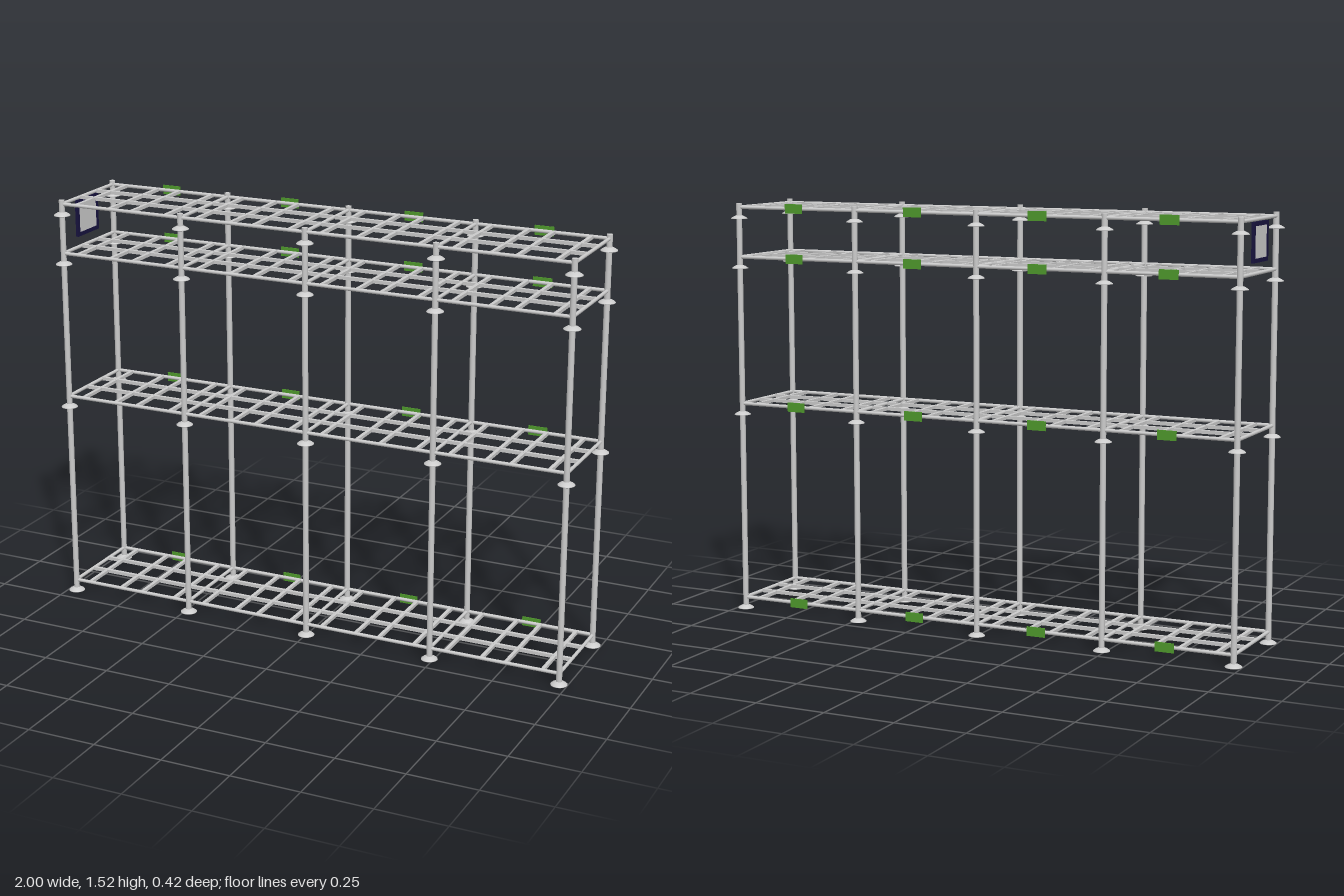
import * as THREE from 'three';

const grey = new THREE.MeshStandardMaterial({ color: 0xcccccc });
const green = new THREE.MeshStandardMaterial({ color: 0x4f9a2c });
const navy = new THREE.MeshStandardMaterial({ color: 0x17123f });

const POST_X = [-0.97, -0.485, 0, 0.485, 0.97];
const POST_Z = 0.178;
const LEVELS = [0.042, 0.777, 1.32, 1.502];
const HEIGHT = 1.517;

export function createModel() {
  const model = new THREE.Group();
  model.name = 'shelvingRack';

  const add = (parent, name, geometry, material, x, y, z) => {
    const mesh = new THREE.Mesh(geometry, material);
    mesh.name = name;
    mesh.position.set(x, y, z);
    parent.add(mesh);
    return mesh;
  };

  // Shared geometries
  const postGeo = new THREE.CylinderGeometry(0.0105, 0.0105, HEIGHT, 16);
  const collarGeo = new THREE.LatheGeometry([
    [0, 0], [0.03, 0], [0.03, 0.002], [0.025, 0.006], [0.018, 0.01], [0.0105, 0.013],
  ].map(([r, y]) => new THREE.Vector2(r, y)), 20);
  const longRailGeo = new THREE.CylinderGeometry(0.0065, 0.0065, 1.94, 10).rotateZ(Math.PI / 2);
  const crossRailGeo = new THREE.CylinderGeometry(0.0065, 0.0065, POST_Z * 2, 10).rotateX(Math.PI / 2);
  const longSlatGeo = new THREE.BoxGeometry(1.94, 0.012, 0.013);
  const crossSlatGeo = new THREE.BoxGeometry(0.013, 0.011, POST_Z * 2);
  const labelGeo = new THREE.BoxGeometry(0.07, 0.034, 0.004);

  // Posts, each with a domed collar under every shelf
  const posts = new THREE.Group();
  posts.name = 'posts';
  model.add(posts);
  for (const x of POST_X) {
    for (const z of [-POST_Z, POST_Z]) {
      add(posts, 'post', postGeo, grey, x, HEIGHT / 2, z);
      for (const y of LEVELS) add(posts, 'collar', collarGeo, grey, x, y - 0.042, z);
    }
  }

  // Four identical open shelves
  for (const y of LEVELS) {
    const shelf = new THREE.Group();
    shelf.name = 'shelf';
    shelf.position.y = y;
    model.add(shelf);

    for (const z of [-POST_Z, POST_Z]) add(shelf, 'longRail', longRailGeo, grey, 0, 0, z);
    for (const z of [-0.06, 0.052]) add(shelf, 'longSlat', longSlatGeo, grey, 0, 0, z);
    for (const x of POST_X) add(shelf, 'crossRail', crossRailGeo, grey, x, 0, 0);

    // Cross slats and a rear label in each bay
    for (let bay = 0; bay < 4; bay++) {
      const centre = (POST_X[bay] + POST_X[bay + 1]) / 2;
      for (const dx of [-0.181, -0.046, 0.044, 0.181]) {
        add(shelf, 'crossSlat', crossSlatGeo, grey, centre + dx, 0, 0);
      }
      add(shelf, 'label', labelGeo, green, centre + 0.006, 0, -POST_Z - 0.008);
    }
  }

  // Framed sign panel hanging between the two upper shelves at the right end
  const sign = new THREE.Group();
  sign.name = 'endSign';
  sign.position.set(-0.974, 1.426, 0.002);
  model.add(sign);
  const w = 0.145, h = 0.137, b = 0.014;
  add(sign, 'signPanel', new THREE.BoxGeometry(0.006, h - b, w - b), grey, 0, 0, 0);
  for (const s of [-1, 1]) {
    add(sign, 'signFrameBar', new THREE.BoxGeometry(0.01, b, w), navy, 0, s * (h - b) / 2, 0);
    add(sign, 'signFrameSide', new THREE.BoxGeometry(0.01, h - 2 * b, b), navy, 0, 0, s * (w - b) / 2);
  }

  return model;
}
